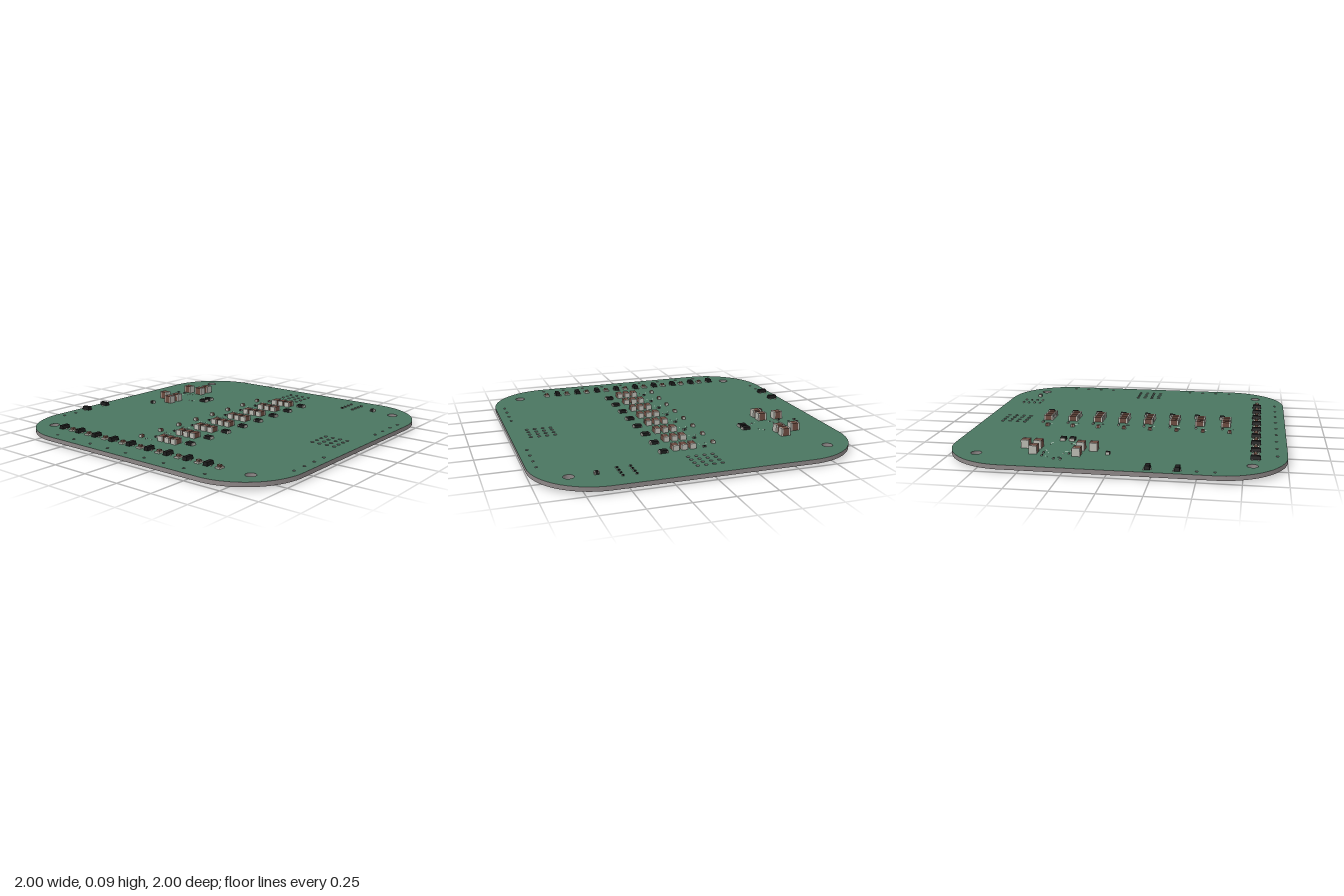
import * as THREE from 'three';

const TOP = 0.045, BOTTOM = 0.018;
const mat = (color) => new THREE.MeshStandardMaterial({ color });
const M = {
  green: mat(0x4a7560), edge: mat(0x8c8686), brown: mat(0x6b4a3f), black: mat(0x1c1c1c),
  metal: mat(0xb8b8b0), lens: mat(0xd8d4c4), silk: mat(0xc4d0c8), dark: mat(0x2a2a2a),
};
const range = (n, start, step) => Array.from({ length: n }, (_, i) => start + i * step);

export function createModel() {
  const model = new THREE.Group();

  function box(parent, name, w, h, d, x, y, z, material) {
    const m = new THREE.Mesh(new THREE.BoxGeometry(w, h, d), material);
    m.name = name;
    m.position.set(x, y, z);
    parent.add(m);
    return m;
  }
  function part(name, x, y, z, turned) {
    const g = new THREE.Group();
    g.name = name;
    g.position.set(x, y, z);
    if (turned) g.rotation.y = Math.PI / 2;
    model.add(g);
    return g;
  }

  // Two-terminal chip: body between two metal ends, long axis on x or (turned) z
  function chip(name, x, z, len, wid, h, body, turned = false, below = false) {
    const g = part(name, x, below ? BOTTOM - h : TOP, z, turned);
    const end = len * 0.17;
    box(g, 'body', len - 2 * end, h * 0.96, wid * 0.97, 0, h / 2, 0, body);
    for (const s of [-1, 1]) box(g, 'terminal', end, h, wid, s * (len - end) / 2, h / 2, 0, M.metal);
  }

  // Flat resistor: dark top with short metal ends
  function resistor(x, z, turned = false) {
    const g = part('resistor', x, TOP, z, turned);
    box(g, 'body', 0.046, 0.018, 0.034, 0, 0.009, 0, M.black);
    for (const s of [-1, 1]) box(g, 'terminal', 0.006, 0.016, 0.034, s * 0.024, 0.008, 0, M.metal);
  }

  // Transistor: tapered body, one lead on one side and two on the other
  function transistor(x, z, turned = false) {
    const g = part('transistor', x, TOP, z, turned);
    const m = box(g, 'body', 0.06, 0.022, 0.032, 0, 0.014, 0, M.black);
    const p = m.geometry.attributes.position;
    for (let i = 0; i < p.count; i++) if (p.getY(i) > 0) p.setXYZ(i, p.getX(i) * 0.92, p.getY(i), p.getZ(i) * 0.82);
    m.geometry.computeVertexNormals();
    for (const [lx, s] of [[0, 1], [-0.019, -1], [0.019, -1]])
      box(g, 'lead', 0.008, 0.005, 0.008, lx, 0.0025, s * 0.019, M.metal);
  }

  // Light: pale base, metal pads and a small lens
  function light(x, z) {
    const g = part('light', x, TOP, z);
    box(g, 'base', 0.032, 0.008, 0.026, 0, 0.004, 0, M.lens);
    for (const s of [-1, 1]) box(g, 'pad', 0.034, 0.01, 0.009, 0, 0.005, s * 0.017, M.metal);
    box(g, 'lens', 0.022, 0.012, 0.02, 0, 0.014, 0, M.brown);
    box(g, 'die', 0.01, 0.003, 0.01, 0, 0.021, 0, M.lens);
  }

  const mark = (x, z, w, d) => box(model, 'printedLine', w, 0.001, d, x, TOP + 0.0005, z, M.silk);
  const corners = (x, z, hw, hd, l) => {
    for (const sx of [-1, 1]) for (const sz of [-1, 1]) {
      mark(x + sx * (hw - l / 2), z + sz * hd, l, 0.003);
      mark(x + sx * hw, z + sz * (hd - l / 2), 0.003, l);
    }
  };

  // Board outline with rounded corners; the shape's y becomes -z
  const s = new THREE.Shape();
  const c = 0.6, H = Math.PI / 2;
  s.moveTo(-c, -1);
  s.absarc(c, -c, 0.4, -H, 0, false);
  s.absarc(c, c, 0.4, 0, H, false);
  s.absarc(-c, c, 0.4, H, 2 * H, false);
  s.absarc(-c, -c, 0.4, 2 * H, 3 * H, false);
  const hole = (x, z, r) => s.holes.push(new THREE.Path().absarc(x, -z, r, 0, Math.PI * 2, true));

  // Mounting holes, two hole grids and edge holes
  for (const x of [-0.8, 0.8]) for (const z of [-0.8, 0.8]) hole(x, z, 0.032);
  for (const i of range(4, 0, 1)) for (const j of range(4, 0, 1)) {
    hole(-0.08 + i * 0.051, -0.872 + j * 0.051, 0.011);
    hole(0.722 + i * 0.051, -0.072 + j * 0.051, 0.011);
  }
  for (const z of range(4, 0.3, 0.1)) { hole(0.94, z, 0.009); hole(0.94, -z, 0.009); }
  for (const z of [0.5, 0.6]) hole(-0.94, z, 0.009);
  for (const x of range(9, -0.6, 0.15)) hole(x, 0.94, 0.009);

  const geo = new THREE.ExtrudeGeometry(s, { depth: TOP - BOTTOM, bevelEnabled: false, curveSegments: 20 });
  geo.rotateX(-H);
  geo.translate(0, BOTTOM, 0);
  const board = new THREE.Mesh(geo, [M.green, M.edge]);
  board.name = 'board';
  model.add(board);

  // Eight repeated channels down the middle
  for (const z of range(8, -0.572, 0.17)) {
    for (const x of [-0.005, 0.05, 0.104]) chip('capacitor', x, z, 0.062, 0.038, 0.033, M.brown, true);
    resistor(0.187, z - 0.033);
    chip('smallCapacitor', -0.156, z + 0.03, 0.024, 0.022, 0.018, M.brown, true);
    chip('smallInductor', -0.08, z - 0.02, 0.02, 0.012, 0.01, M.dark);
    mark(-0.112, z + 0.038, 0.003, 0.024);
    mark(-0.068, z + 0.038, 0.003, 0.024);
  }

  // Power section at the left edge of the plan
  for (const [x, z] of [[-0.64, -0.545], [-0.64, -0.468], [-0.745, -0.468], [-0.755, -0.208], [-0.64, -0.208], [-0.64, -0.13]])
    chip('largeCapacitor', x, z, 0.06, 0.048, 0.05, M.brown);
  for (const z of [-0.36, -0.302]) resistor(-0.46, z);
  corners(-0.617, -0.338, 0.078, 0.075, 0.03);
  corners(-0.772, -0.338, 0.04, 0.045, 0.015);
  for (const [x, z] of [[-0.85, -0.283], [-0.845, -0.325], [-0.745, -0.258], [-0.745, -0.41], [-0.8, -0.405]])
    chip('tinyCapacitor', x, z, 0.016, 0.009, 0.008, M.dark);
  for (const [x, z] of [[0.645, -0.81], [-0.715, -0.033]]) chip('thermistor', x, z, 0.028, 0.024, 0.018, M.black);
  for (const x of [0.435, 0.515]) for (const z of range(4, -0.88, 0.041))
    chip('tinyResistor', x, z, 0.016, 0.01, 0.008, M.black);

  // Front row of lights and transistors, plus two at the side
  for (const x of range(9, -0.6, 0.15)) {
    light(x, 0.815);
    transistor(x - 0.08, 0.815, true);
    chip('lightResistor', x, 0.7, 0.018, 0.01, 0.01, M.dark, false, true);
    chip('gateResistor', x - 0.05, 0.74, 0.018, 0.01, 0.01, M.dark, true, true);
  }
  for (const z of [0.23, 0.395]) transistor(-0.94, z);

  // Underside: four double rows of small parts beside the connectors
  for (const t of range(16, 0, 0.03)) for (const k of [0, 0.032]) {
    chip('undersideResistor', 0.42 + t, -0.18 + k, 0.018, 0.01, 0.012, M.dark, true, true);
    chip('undersideResistor', 0.42 + t, 0.22 + k, 0.018, 0.01, 0.012, M.dark, true, true);
    chip('undersideResistor', 0.3 + k, -0.27 - t, 0.018, 0.01, 0.012, M.dark, false, true);
    chip('undersideResistor', 0.28 + k, 0.31 + t, 0.018, 0.01, 0.012, M.dark, false, true);
  }
  // Underside clusters near the left and front edges
  for (const [x, z, n, h] of [[-0.41, 0.44, 5, 0.018], [-0.71, 0.62, 4, 0.012], [-0.92, 0.3, 4, 0.012], [0.28, -0.84, 3, 0.012]])
    for (const i of range(n, 0, 1)) for (const j of [-1, 1])
      chip('undersideChip', x + j * 0.025, z + (i - (n - 1) / 2) * 0.03, 0.022, 0.011, h, M.dark, false, true);

  return model;
}
